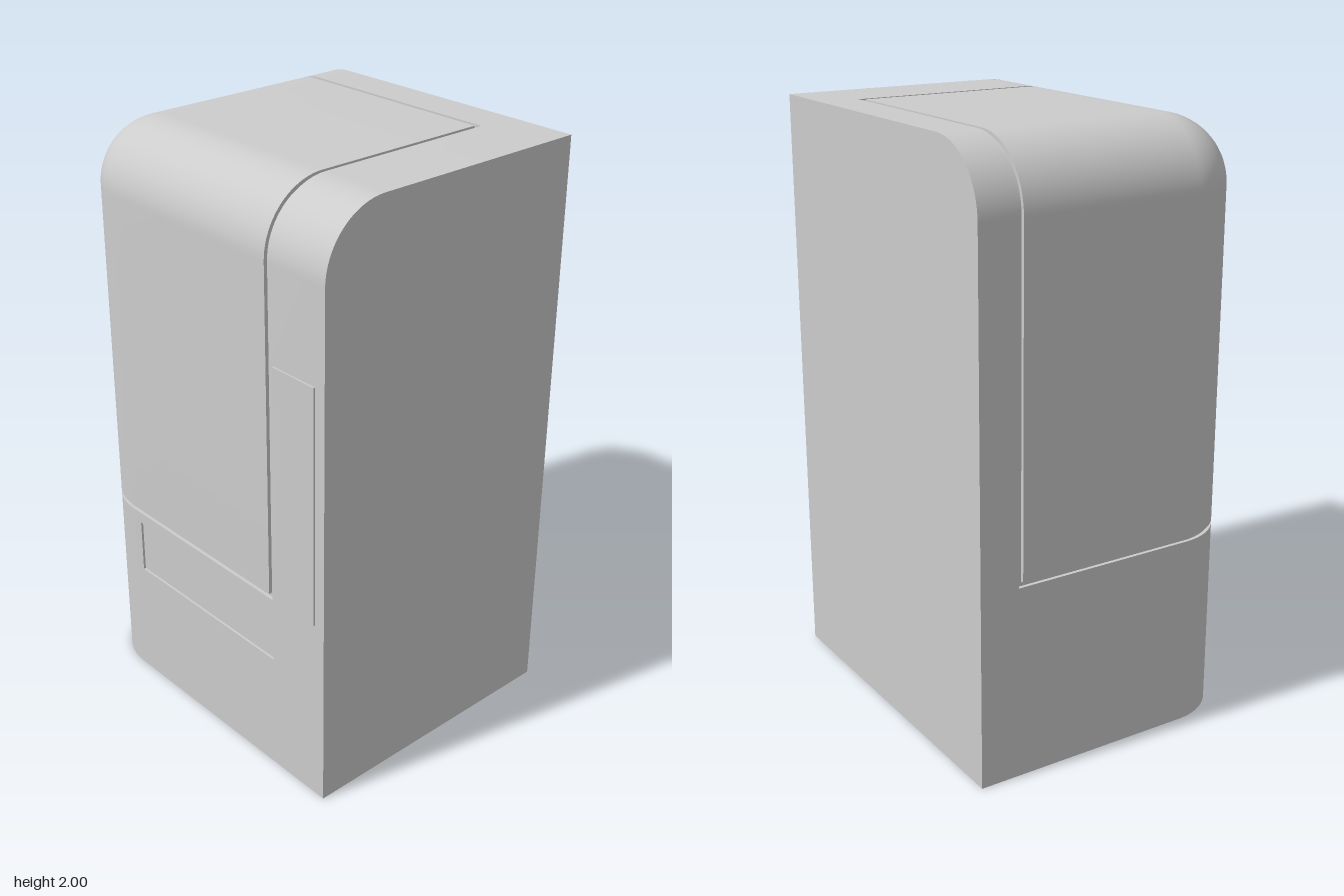
import * as THREE from 'three';
import { toCreasedNormals } from 'three/addons/utils/BufferGeometryUtils.js';

const R = 0.22, X0 = -0.6, X1 = 0.6, Z0 = -0.5, Z1 = 0.495, H = 2;
const SEAM = 0.012, RECESS = 0.008, STEPS = 10;

// Grid offsets that map to equal angles on the rounded edges
const arc = Array.from({ length: STEPS + 1 }, (_, i) => R * Math.tan((i / STEPS) * Math.PI / 4));
const xs = [...arc.map(a => X0 + R - a).reverse(), -0.34, 0.345, 0.36, X1];
const ys = [0, 0.42, 0.61, 0.65, 0.665, ...arc.map(a => H - R + a)];
const zs = [Z0, -0.365, -0.35, ...arc.map(a => Z1 - R + a)];

// Move a point of the square box onto the rounded housing, sunk by depth
function onHousing(x, y, z, depth) {
  const c = new THREE.Vector3(Math.max(x, X0 + R), Math.min(y, H - R), Math.min(z, Z1 - R));
  const d = new THREE.Vector3(x, y, z).sub(c).setLength(R - depth);
  return c.add(d);
}

// Which part a spot on the housing belongs to
function partAt(x, y, z, front) {
  if (x < 0.345 && y > 0.665 && z > -0.35) return 'hatch';
  if (x < 0.36 && y > 0.65 && z > -0.365) return 'hatchSeam';
  if (front && x > -0.34 && x < 0.36 && y > 0.42 && y < 0.61) return 'recessedPanel';
  return 'housing';
}
const depthOf = { housing: 0, hatch: 0, hatchSeam: SEAM, recessedPanel: RECESS };

export function createModel() {
  const group = new THREE.Group();
  const grey = new THREE.MeshStandardMaterial({ color: 0xcccccc, side: THREE.DoubleSide });
  grey.name = 'light grey';
  const add = (name, geometry) => {
    const mesh = new THREE.Mesh(geometry, grey);
    mesh.name = name;
    group.add(mesh);
    return mesh;
  };

  const points = { housing: [], hatch: [], hatchSeam: [], recessedPanel: [] };
  const quad = (name, a, b, c, d) => {
    for (const p of [a, b, c, a, c, d]) points[name].push(p.x, p.y, p.z);
  };

  // Front, left and top skins, with seam and recess walls where the depth changes
  const skins = [
    { us: xs, vs: ys, at: (u, v) => [u, v, Z1], front: true },
    { us: zs, vs: ys, at: (u, v) => [X0, v, u] },
    { us: zs, vs: xs, at: (u, v) => [v, H, u] },
  ];
  for (const { us, vs, at, front } of skins) {
    const P = (i, j, d) => onHousing(...at(us[i], vs[j]), d);
    const part = (i, j) => partAt(...at((us[i] + us[i + 1]) / 2, (vs[j] + vs[j + 1]) / 2), front);
    for (let i = 0; i < us.length - 1; i++) {
      for (let j = 0; j < vs.length - 1; j++) {
        const name = part(i, j), d = depthOf[name];
        quad(name, P(i, j, d), P(i + 1, j, d), P(i + 1, j + 1, d), P(i, j + 1, d));
        if (i < us.length - 2) {
          const next = part(i + 1, j), e = depthOf[next];
          if (d !== e) quad(d > e ? name : next,
            P(i + 1, j, d), P(i + 1, j, e), P(i + 1, j + 1, e), P(i + 1, j + 1, d));
        }
        if (j < vs.length - 2) {
          const next = part(i, j + 1), e = depthOf[next];
          if (d !== e) quad(d > e ? name : next,
            P(i, j + 1, d), P(i + 1, j + 1, d), P(i + 1, j + 1, e), P(i, j + 1, e));
        }
      }
    }
  }
  for (const name in points) {
    const geometry = new THREE.BufferGeometry();
    geometry.setAttribute('position', new THREE.Float32BufferAttribute(points[name], 3));
    add(name, toCreasedNormals(geometry, 0.5));
  }

  // Flat walls with one rounded top corner; the underside stays open
  const wall = (left, right) => {
    const s = new THREE.Shape();
    s.moveTo(left, 0);
    s.lineTo(right, 0);
    s.lineTo(right, H);
    s.lineTo(left + R, H);
    s.absarc(left + R, H - R, R, Math.PI / 2, Math.PI, false);
    s.lineTo(left, 0);
    return new THREE.ShapeGeometry(s, STEPS * 2);
  };
  const side = add('sideWall', wall(-Z1, -Z0));
  side.rotation.y = Math.PI / 2;
  side.position.x = X1;

  // Back wall is turned to face backwards by mirroring its outline
  const backGeometry = wall(X0, X1);
  const index = backGeometry.index.array;
  for (let i = 0; i < index.length; i += 3) [index[i], index[i + 1]] = [index[i + 1], index[i]];
  const normals = backGeometry.attributes.normal;
  for (let i = 0; i < normals.count; i++) normals.setZ(i, -1);
  add('backWall', backGeometry).position.z = Z0;

  // Raised plate beside the hatch
  const plate = add('frontPlate', new THREE.BoxGeometry(0.18, 0.81, 0.009));
  plate.position.set(0.47, 1.065, 0.4965);

  return group;
}
